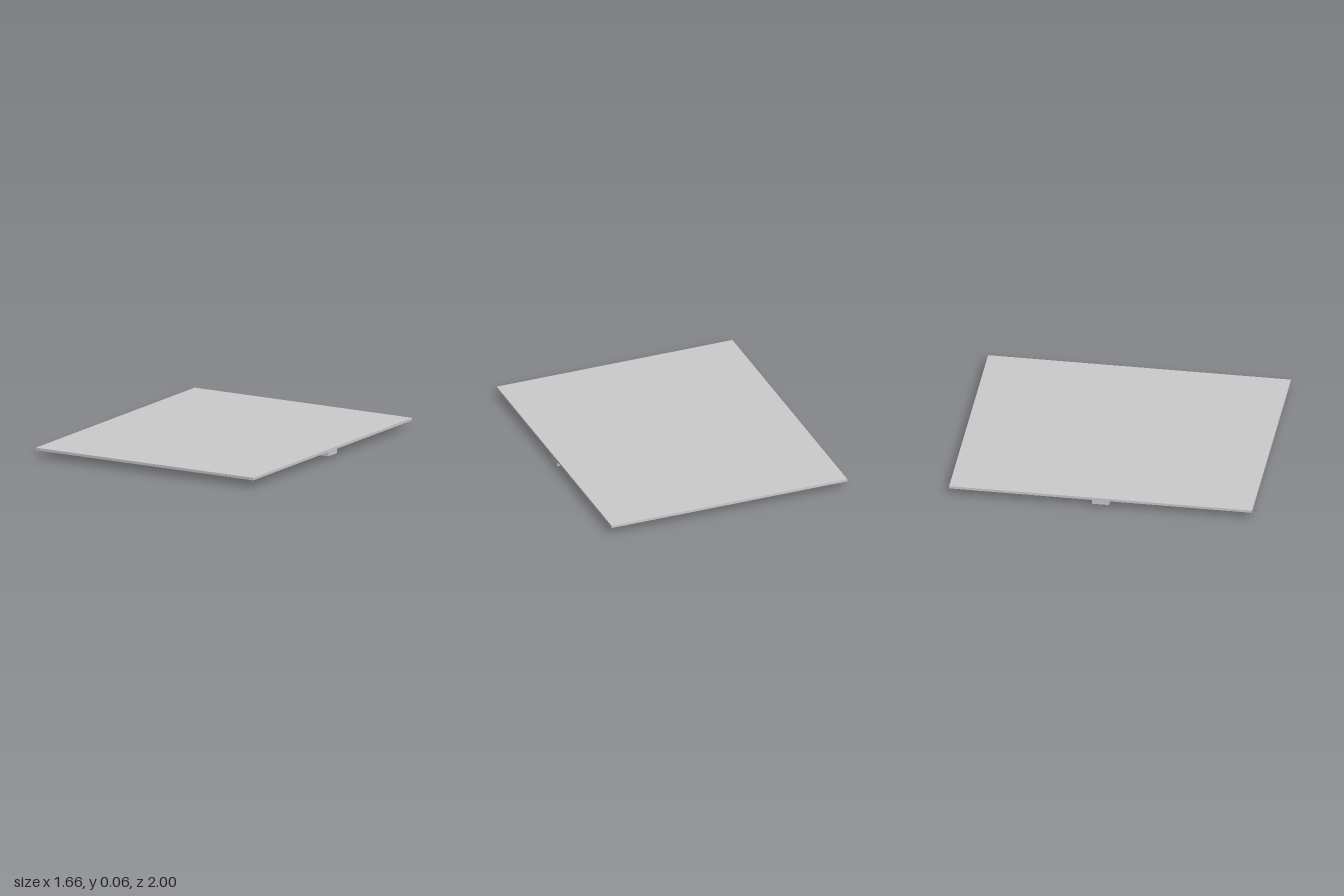
import * as THREE from 'three';

const material = new THREE.MeshStandardMaterial({ color: 0xcccccc, flatShading: true });

// Box given by its centre in x and z and its lower and upper height
function slab(name, width, depth, bottom, top, x = 0, z = 0) {
  const mesh = new THREE.Mesh(new THREE.BoxGeometry(width, top - bottom, depth), material);
  mesh.name = name;
  mesh.position.set(x, (bottom + top) / 2, z);
  return mesh;
}

// Shallow tray open to the underside, with a narrow bar along its middle
function createBracket(name, x, z) {
  const length = 0.54, depth = 0.104, rim = 0.024;
  const bottom = 0.004, top = 0.031, floor = 0.026;
  const group = new THREE.Group();
  group.name = name;
  group.position.set(x, 0, z);

  const outline = new THREE.Shape([
    new THREE.Vector2(-length / 2, -depth / 2), new THREE.Vector2(length / 2, -depth / 2),
    new THREE.Vector2(length / 2, depth / 2), new THREE.Vector2(-length / 2, depth / 2),
  ]);
  const a = length / 2 - rim, b = depth / 2 - rim;
  outline.holes.push(new THREE.Path([
    new THREE.Vector2(-a, -b), new THREE.Vector2(-a, b),
    new THREE.Vector2(a, b), new THREE.Vector2(a, -b),
  ]));
  const geometry = new THREE.ExtrudeGeometry(outline, { depth: top - bottom, bevelEnabled: false });
  geometry.rotateX(-Math.PI / 2);
  geometry.translate(0, bottom, 0);
  const frame = new THREE.Mesh(geometry, material);
  frame.name = 'bracketFrame';

  group.add(
    frame,
    slab('bracketFloor', 2 * a, 2 * b, floor, top),
    slab('bracketBar', 2 * a, 0.02, 0, floor),
  );
  return group;
}

export function createModel() {
  const model = new THREE.Group();
  model.name = 'panel';

  // Flat top and the stiffening rib across its underside
  model.add(slab('topPanel', 1.66, 2, 0.048, 0.065));
  model.add(slab('centreRib', 1.66, 0.112, 0.019, 0.048));

  // Four mounting brackets, mirrored in x and z
  for (const [side, x] of [['Left', 0.44], ['Right', -0.44]]) {
    for (const [end, z] of [['front', 0.503], ['back', -0.503]]) {
      model.add(createBracket(`${end}${side}Bracket`, x, z));
    }
  }
  return model;
}
